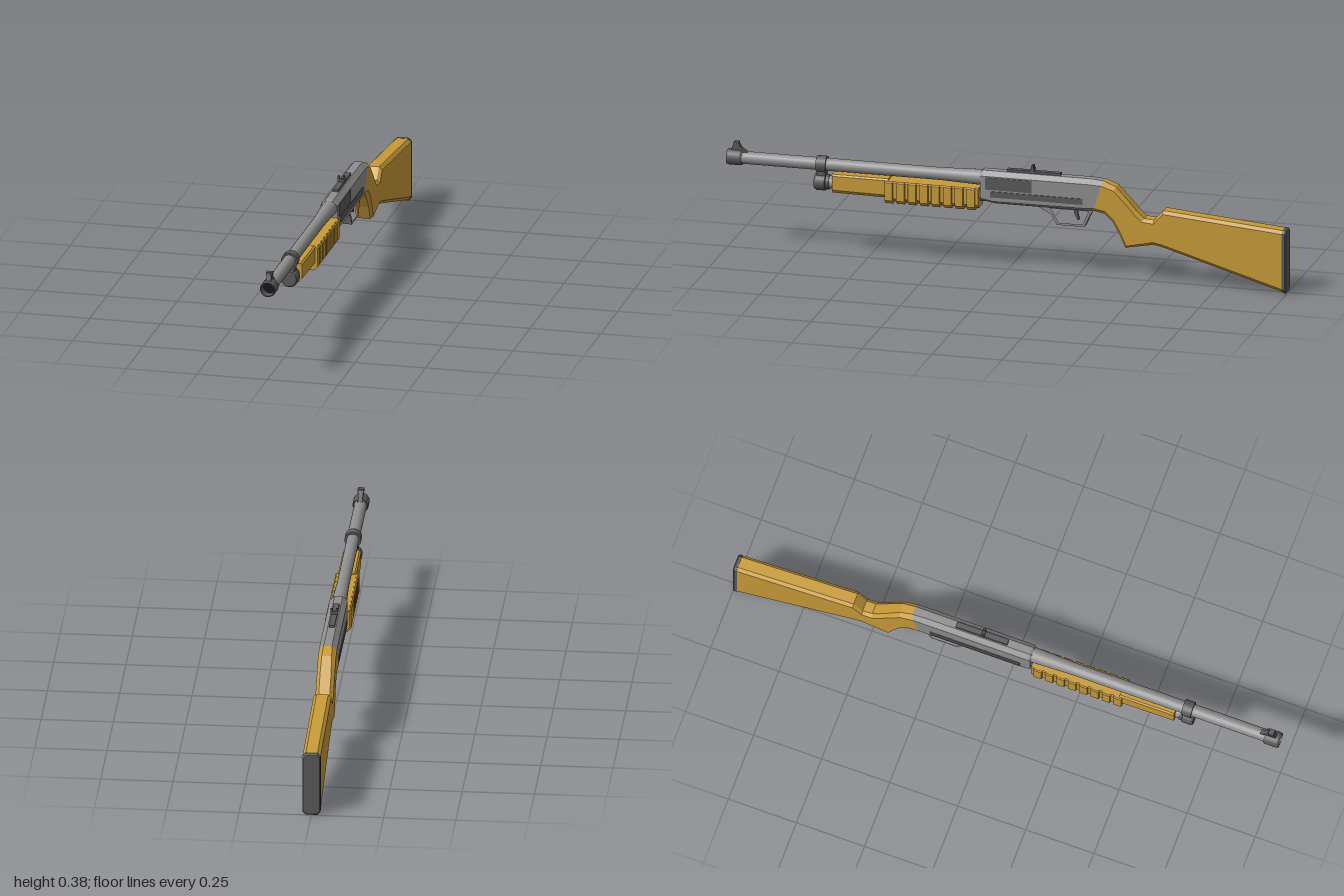
import * as THREE from 'three';

const mat = (name, color, side = THREE.FrontSide) => {
  const m = new THREE.MeshStandardMaterial({ color, side });
  m.name = name;
  return m;
};

export function createModel() {
  const root = new THREE.Group();
  root.name = 'pumpGun';
  const wood = mat('goldenWood', 0xc89b38);
  const steel = mat('steelGrey', 0x8f8f8f);
  const dark = mat('darkGrey', 0x5a5a5a);
  const black = mat('boreBlack', 0x141414);

  const add = (name, geo, material, x = 0, y = 0, z = 0) => {
    const mesh = new THREE.Mesh(geo, material);
    mesh.name = name;
    mesh.position.set(x, y, z);
    root.add(mesh);
    return mesh;
  };
  const box = (name, material, w, h, d, x, y, z) =>
    add(name, new THREE.BoxGeometry(w, h, d), material, x, y, z);

  // Revolved part along z; profile is [radius, z], listed from back to front
  const turned = (name, material, y, profile, sides = 20) => {
    const pts = [];
    // doubled corners keep the edges crisp
    profile.forEach(([r, z], i) => {
      pts.push(new THREE.Vector2(r, z));
      if (i > 0 && i < profile.length - 1) pts.push(new THREE.Vector2(r, z));
    });
    return add(name, new THREE.LatheGeometry(pts, sides).rotateX(Math.PI / 2), material, 0, y, 0);
  };

  // Side outline of [z, y] points extruded across x
  const sidePlate = (name, material, outline, width, hole) => {
    const toPts = (a) => a.map(([z, y]) => new THREE.Vector2(z, y));
    const shape = new THREE.Shape(toPts(outline));
    if (hole) shape.holes.push(new THREE.Path(toPts(hole)));
    const geo = new THREE.ExtrudeGeometry(shape, { depth: width, bevelEnabled: false });
    geo.translate(0, 0, -width / 2).rotateY(-Math.PI / 2);
    return add(name, geo, material);
  };

  // Chamfered cross-section: top point, bottom point, half width, chamfers
  const ring = ([zt, yt, zb, yb, w, ct, cb]) => {
    const len = Math.hypot(zb - zt, yb - yt);
    const at = (x, s) => [x, yt + ((yb - yt) * s) / len, zt + ((zb - zt) * s) / len];
    return [
      at(w, ct), at(w - ct, 0), at(ct - w, 0), at(-w, ct),
      at(-w, len - cb), at(cb - w, len), at(w - cb, len), at(w, len - cb),
    ];
  };
  // Flat-shaded loft through cross-sections, ordered front to back
  const loft = (name, material, stations) => {
    const rings = stations.map(ring);
    const out = [];
    const tri = (...p) => p.forEach((v) => out.push(...v));
    for (let k = 0; k < rings.length - 1; k++) {
      const a = rings[k], b = rings[k + 1];
      for (let i = 0; i < 8; i++) {
        const j = (i + 1) % 8;
        tri(a[i], b[i], b[j]);
        tri(a[i], b[j], a[j]);
      }
    }
    const f = rings[0], e = rings[rings.length - 1];
    for (let i = 1; i < 7; i++) {
      tri(f[0], f[i], f[i + 1]);
      tri(e[0], e[i + 1], e[i]);
    }
    const geo = new THREE.BufferGeometry();
    geo.setAttribute('position', new THREE.Float32BufferAttribute(out, 3));
    geo.computeVertexNormals();
    return add(name, geo, material);
  };

  // Barrel, hollow muzzle and magazine tube
  const barrelY = 0.326, tubeY = 0.263;
  turned('barrel', steel, barrelY, [[0.027, 0.05], [0.027, 0.1], [0.022, 0.24], [0.022, 0.96]]);
  turned('muzzleRing', dark, barrelY,
    [[0.021, 0.945], [0.025, 0.945], [0.028, 0.952], [0.028, 0.993], [0.026, 1], [0.023, 1], [0.023, 0.961]]);
  turned('boreWall', dark, barrelY, [[0.023, 1], [0.023, 0.962]]);
  add('bore', new THREE.CircleGeometry(0.023, 20), black, 0, barrelY, 0.963);
  turned('magazineTube', steel, tubeY, [[0.022, 0.06], [0.022, 0.65]]);
  turned('magazineCap', dark, tubeY,
    [[0, 0.635], [0.026, 0.635], [0.026, 0.646], [0.031, 0.648], [0.031, 0.68], [0.027, 0.687], [0, 0.687]]);

  // Band tying the barrel to the tube
  turned('barrelBand', dark, barrelY, [[0.02, 0.645], [0.029, 0.645], [0.029, 0.68], [0.02, 0.68]]);
  box('bandBridge', dark, 0.036, 0.04, 0.03, 0, 0.297, 0.663);

  // Front sight
  sidePlate('frontSightRamp', dark,
    [[0.925, 0.345], [0.95, 0.362], [0.958, 0.376], [0.978, 0.376], [0.982, 0.362], [0.988, 0.345]], 0.016);
  box('frontSightPost', dark, 0.022, 0.014, 0.018, 0, 0.375, 0.968);

  // Forend: plain nose plus ribbed grip
  loft('forendNose', wood, [
    [0.62, 0.3, 0.62, 0.232, 0.031, 0.006, 0.012],
    [0.42, 0.3, 0.42, 0.23, 0.032, 0.006, 0.012],
  ]);
  const ribs = [];
  const ribCount = 8, ribLength = 0.335 / ribCount;
  for (let i = 0; i < ribCount; i++) {
    const z = 0.43 - i * ribLength;
    const high = [0.294, 0.213, 0.041], low = [0.294, 0.22, 0.036];
    for (const [dz, [t, b, w]] of [[0, high], [0.028, high], [0.03, low], [ribLength - 0.002, low]]) {
      ribs.push([z - dz, t, z - dz, b, w, 0.004, 0.013]);
    }
  }
  loft('forendGrip', wood, ribs);

  // Receiver
  loft('receiver', steel, [
    [0.092, 0.352, 0.092, 0.252, 0.03, 0.017, 0.008],
    [0.085, 0.356, 0.085, 0.25, 0.031, 0.017, 0.008],
    [0.045, 0.356, 0.045, 0.243, 0.031, 0.017, 0.008],
    [-0.3, 0.356, -0.27, 0.243, 0.031, 0.017, 0.01],
    [-0.345, 0.353, -0.313, 0.243, 0.031, 0.016, 0.012],
  ]);
  for (const s of [-1, 1]) {
    box('sideStrip', dark, 0.005, 0.021, 0.33, s * 0.031, 0.276, -0.11);
  }
  box('ejectionPort', dark, 0.003, 0.044, 0.165, 0.031, 0.314, -0.01);
  box('loadingPort', dark, 0.034, 0.004, 0.17, 0, 0.2425, -0.04);

  // Sight rail and notched rear sight
  box('sightRail', dark, 0.02, 0.009, 0.19, 0, 0.36, -0.095);
  box('rearSightBase', dark, 0.026, 0.01, 0.012, 0, 0.369, -0.09);
  for (const s of [-1, 1]) box('rearSightEar', dark, 0.007, 0.013, 0.008, s * 0.009, 0.378, -0.09);

  // Trigger and guard
  sidePlate('triggerGuard', steel,
    [[-0.11, 0.245], [-0.12, 0.236], [-0.157, 0.218], [-0.178, 0.18], [-0.277, 0.18], [-0.3, 0.23], [-0.312, 0.245]],
    0.03,
    [[-0.155, 0.238], [-0.168, 0.218], [-0.184, 0.188], [-0.271, 0.188], [-0.292, 0.238]]);
  sidePlate('trigger', dark,
    [[-0.235, 0.245], [-0.238, 0.222], [-0.25, 0.2], [-0.256, 0.202], [-0.25, 0.224], [-0.252, 0.245]], 0.01);

  // Stock with grip, and butt pad
  loft('stock', wood, [
    [-0.345, 0.353, -0.313, 0.243, 0.031, 0.016, 0.012],
    [-0.39, 0.336, -0.35, 0.236, 0.031, 0.014, 0.012],
    [-0.436, 0.288, -0.378, 0.21, 0.031, 0.012, 0.012],
    [-0.465, 0.255, -0.402, 0.17, 0.031, 0.012, 0.01],
    [-0.492, 0.23, -0.425, 0.12, 0.031, 0.012, 0.01],
    [-0.527, 0.228, -0.525, 0.138, 0.031, 0.012, 0.012],
    [-0.56, 0.265, -0.56, 0.131, 0.031, 0.011, 0.012],
    [-0.985, 0.228, -0.985, 0.006, 0.031, 0.011, 0.012],
  ]);
  loft('buttPad', dark, [
    [-0.985, 0.229, -0.985, 0.004, 0.0315, 0.011, 0.012],
    [-0.996, 0.228, -0.996, 0, 0.0315, 0.011, 0.012],
    [-1, 0.224, -1, 0.004, 0.028, 0.01, 0.011],
  ]);

  return root;
}
